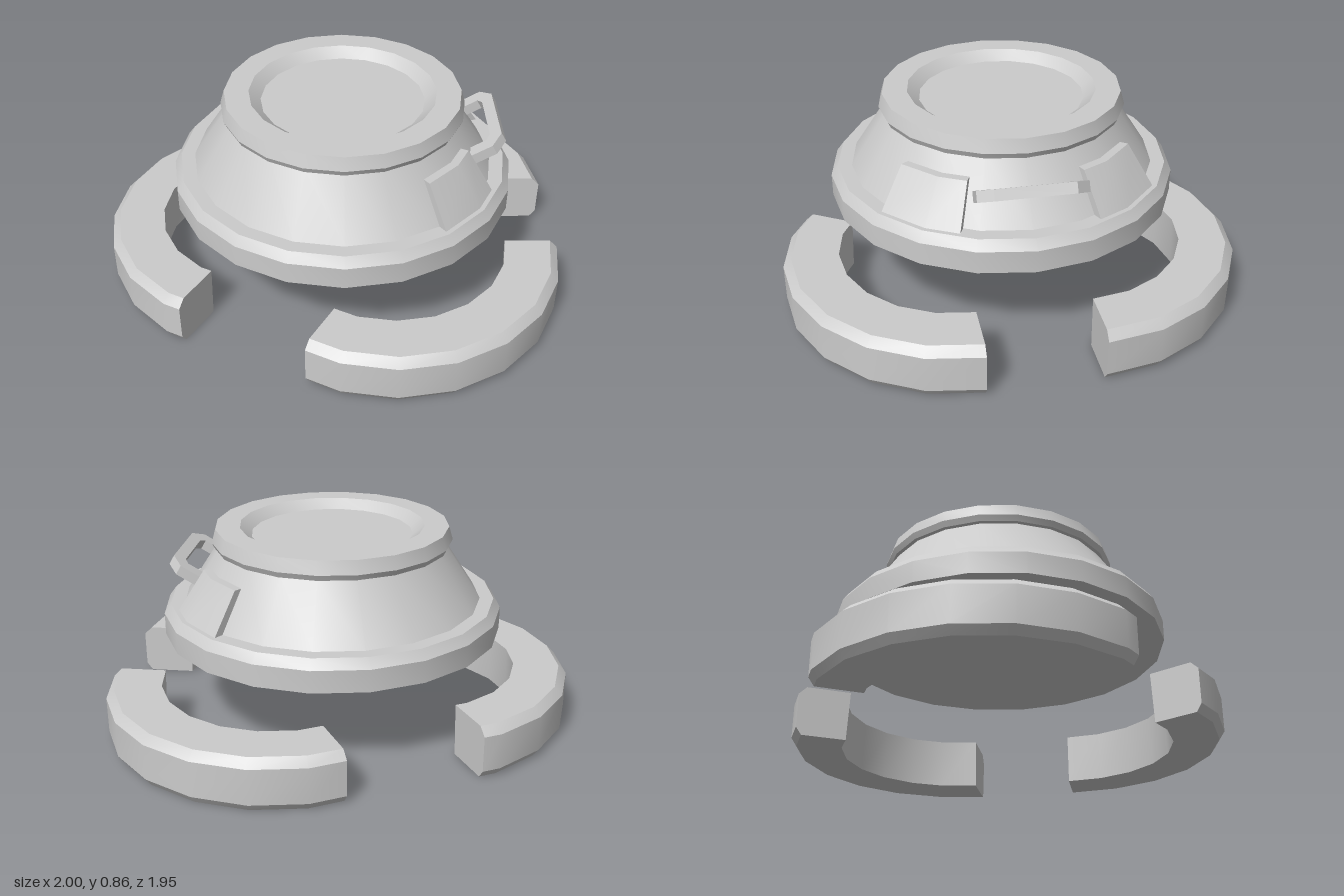
import * as THREE from 'three';
import { toCreasedNormals } from 'three/addons/utils/BufferGeometryUtils.js';

const SIDES = 20;
const STEP = 360 / SIDES;
const CENTRE_X = 0.05;
const material = new THREE.MeshStandardMaterial({ color: 0xcccccc });

function addMesh(parent, name, geometry, x = 0, y = 0, z = 0) {
  const mesh = new THREE.Mesh(toCreasedNormals(geometry, THREE.MathUtils.degToRad(28)), material);
  mesh.name = name;
  mesh.position.set(x, y, z);
  parent.add(mesh);
  return mesh;
}

// Sweeps a convex [radius, y] section around part of a 20-sided ring (angles in degrees, 0 = +x, 90 = +z)
function sector(section, from, to) {
  const angles = [from];
  for (let a = (Math.floor(from / STEP) + 1) * STEP; a < to; a += STEP) angles.push(a);
  angles.push(to);
  const n = section.length;
  const positions = [];
  const index = [];
  const rad = THREE.MathUtils.degToRad;
  for (const a of angles) {
    const local = a - Math.floor(a / STEP) * STEP - STEP / 2;
    const k = Math.cos(rad(STEP / 2)) / Math.cos(rad(local));
    for (const [r, y] of section) positions.push(r * k * Math.cos(rad(a)), y, r * k * Math.sin(rad(a)));
  }
  for (let s = 0; s < angles.length - 1; s++) {
    for (let i = 0; i < n; i++) {
      const j = (i + 1) % n;
      const a = s * n + i, b = s * n + j;
      index.push(a, b, a + n, b, b + n, a + n);
    }
  }
  const end = (angles.length - 1) * n;
  for (let i = 1; i < n - 1; i++) {
    index.push(0, i + 1, i);
    index.push(end, end + i, end + i + 1);
  }
  const geometry = new THREE.BufferGeometry();
  geometry.setAttribute('position', new THREE.Float32BufferAttribute(positions, 3));
  geometry.setIndex(index);
  return geometry;
}

export function createModel() {
  const model = new THREE.Group();
  model.name = 'model';

  // Raised body: base rim, conical wall, collar and dished top
  const profile = [
    [0, 0.4], [0.74, 0.4], [0.74, 0.495], [0.71, 0.535], [0.65, 0.535],
    [0.495, 0.772], [0.51, 0.775], [0.522, 0.8], [0.505, 0.857],
    [0.4, 0.857], [0.35, 0.817], [0, 0.817],
  ].map(([r, y]) => new THREE.Vector2(r, y));
  addMesh(model, 'body', new THREE.LatheGeometry(profile, SIDES), CENTRE_X);

  // Raised panels on the wall, either side of the handle
  const panelSection = [[0.6, 0.51], [0.70, 0.522], [0.575, 0.703], [0.52, 0.703]];
  addMesh(model, 'panelFront', sector(panelSection, 24, 54), CENTRE_X);
  addMesh(model, 'panelBack', sector(panelSection, -54, -24), CENTRE_X);

  // Tilted grab handle with chamfered corners
  const half = [[0, 0.22], [0.1, 0.22], [0.15, 0.16], [0.15, 0], [0.1, 0], [0.1, 0.13], [0.08, 0.16], [0, 0.16]];
  const outline = [
    ...half.slice(0, 3),
    ...half.slice(0, 3).reverse().map(([u, v]) => [u, -v]),
    ...half.slice(5).reverse().map(([u, v]) => [u, -v]),
    ...half.slice(5),
  ].map(([u, v]) => new THREE.Vector2(u, v));
  const thickness = 0.045;
  const handle = new THREE.ExtrudeGeometry(new THREE.Shape(outline), { depth: thickness, bevelEnabled: false });
  handle.translate(0, 0, -thickness / 2);
  handle.rotateX(-Math.PI / 2);
  handle.rotateZ(Math.PI / 6);
  addMesh(model, 'handle', handle, 0.595, 0.645, -0.005);

  // Three thirds of a ring, moved outwards below the body
  const ringSection = [[0.515, 0], [0.715, 0], [0.74, 0.035], [0.74, 0.19], [0.705, 0.225], [0.505, 0.225]];
  const pieces = [
    ['ringFront', 0, 0.26, 0.235],
    ['ringRight', 120, -0.26, 0],
    ['ringBack', 240, 0.26, -0.235],
  ];
  for (const [name, start, x, z] of pieces) {
    addMesh(model, name, sector(ringSection, start, start + 120), x, 0, z);
  }
  return model;
}
